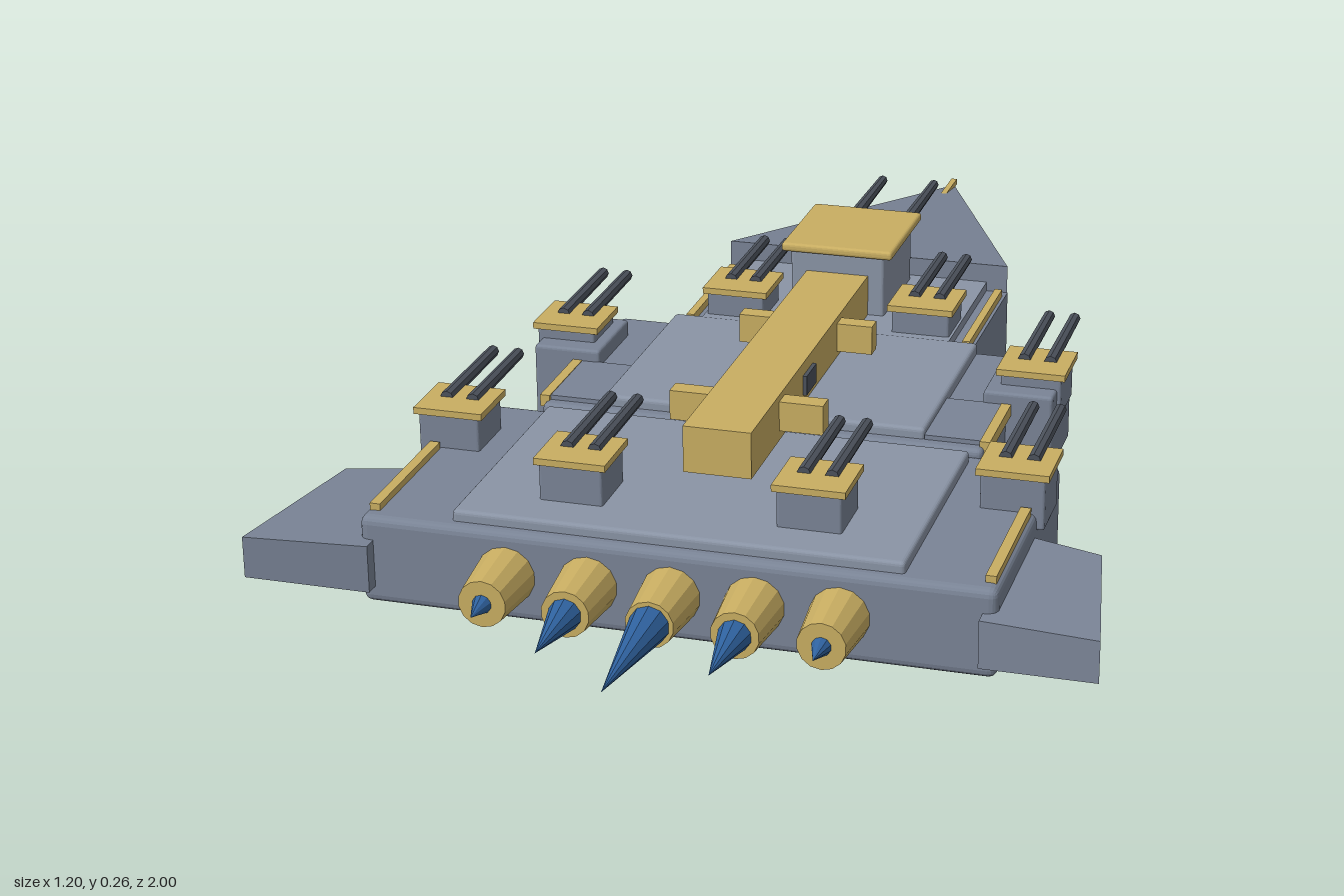
import * as THREE from 'three';
import { RoundedBoxGeometry } from 'three/addons/geometries/RoundedBoxGeometry.js';

const paint = (color) => new THREE.MeshStandardMaterial({ color, flatShading: true });

export function createModel() {
  const ship = new THREE.Group();
  const grey = paint(0x7a8496), pale = paint(0x8a94a5), gold = paint(0xc9ae62);
  const dark = paint(0x4c525c), blue = paint(0x2f629f);

  const add = (name, geometry, material, parent = ship) => {
    const mesh = new THREE.Mesh(geometry, material);
    mesh.name = name;
    parent.add(mesh);
    return mesh;
  };
  // Box given by its limits on each axis
  const box = (name, material, [x0, x1], [y0, y1], [z0, z1], round = 0, parent = ship) => {
    const s = [x1 - x0, y1 - y0, z1 - z0];
    const g = round ? new RoundedBoxGeometry(...s, 2, round) : new THREE.BoxGeometry(...s);
    g.translate((x0 + x1) / 2, (y0 + y1) / 2, (z0 + z1) / 2);
    return add(name, g, material, parent);
  };
  // Round part along z, radius r0 at z0 and r1 at z1
  const rod = (name, material, x, y, z0, z1, r0, r1, sides, parent = ship) => {
    const g = new THREE.CylinderGeometry(r1, r0, z1 - z0, sides);
    g.rotateX(Math.PI / 2).translate(x, y, (z0 + z1) / 2);
    return add(name, g, material, parent);
  };

  // Stepped hull with raised deck plates
  box('rearHull', grey, [-0.45, 0.45], [0, 0.13], [0.28, 0.71], 0.012);
  box('middleHull', grey, [-0.335, 0.335], [0.007, 0.14], [-0.09, 0.285], 0.008);
  box('frontHull', grey, [-0.235, 0.235], [0.007, 0.14], [-0.36, -0.08]);
  box('rearDeck', pale, [-0.32, 0.32], [0.12, 0.146], [0.3, 0.69], 0.006);
  box('middleDeck', pale, [-0.245, 0.245], [0.13, 0.156], [-0.09, 0.265], 0.006);
  box('frontDeck', pale, [-0.2, 0.2], [0.13, 0.155], [-0.36, -0.08]);

  // Four-sided pointed prow
  const prow = new THREE.CylinderGeometry(0, Math.SQRT1_2, 1, 4);
  prow.rotateY(Math.PI / 4).rotateX(-Math.PI / 2).scale(0.468, 0.178, 0.64).translate(0, 0.096, -0.68);
  add('prow', prow, grey);
  box('prowTip', gold, [-0.005, 0.005], [0.098, 0.108], [-1, -0.9]);

  // Spine with crossbars
  box('spine', gold, [-0.05, 0.05], [0.15, 0.22], [-0.17, 0.49]);
  box('rearCrossbar', gold, [-0.115, 0.115], [0.165, 0.21], [0.317, 0.347]);
  box('frontCrossbar', gold, [-0.105, 0.105], [0.165, 0.21], [-0.003, 0.025]);
  box('spineVent', dark, [-0.056, 0.056], [0.17, 0.2], [0.165, 0.22]);

  // Command bridge and its long guns
  box('bridge', pale, [-0.076, 0.076], [0.15, 0.253], [-0.347, -0.165], 0.005);
  box('bridgeRoof', gold, [-0.09, 0.09], [0.251, 0.265], [-0.36, -0.157], 0.005);
  for (const x of [-0.045, 0.045]) rod('bridgeGun', dark, x, 0.218, -0.64, -0.3, 0.008, 0.012, 8);

  // Twin-gun turret: centre x, centre z, block bottom, cap top
  const turret = (name, x, z, y0, y1) => {
    const group = new THREE.Group();
    group.name = name;
    group.position.set(x, 0, z);
    ship.add(group);
    box('turretBlock', grey, [-0.046, 0.046], [y0, y1 - 0.008], [-0.046, 0.046], 0.004, group);
    box('turretCap', gold, [-0.052, 0.052], [y1 - 0.01, y1], [-0.05, 0.05], 0, group);
    for (const dx of [-0.02, 0.02]) rod('turretGun', dark, dx, y1 - 0.001, -0.232 + 0.04, 0, 0.009, 0.01, 8, group);
  };

  for (const s of [-1, 1]) {
    const span = (a, b) => (s > 0 ? [a, b] : [-b, -a]);
    turret('rearDeckTurret', s * 0.17, 0.578, 0.13, 0.209);
    turret('rearSideTurret', s * 0.415, 0.41, 0.105, 0.19);
    turret('middleSideTurret', s * 0.365, 0.043, 0.12, 0.19);
    turret('frontTurret', s * 0.15, -0.148, 0.13, 0.2);
    box('sideSponson', grey, span(0.3, 0.405), [0.045, 0.165], [-0.02, 0.122], 0.005);
    box('sidePanel', grey, span(0.245, 0.33), [0.13, 0.147], [0.12, 0.265]);

    // Gold edge strips
    box('rearTrim', gold, span(0.428, 0.443), [0.12, 0.14], [0.46, 0.685]);
    box('middleTrim', gold, span(0.328, 0.343), [0.13, 0.148], [0.118, 0.27]);
    box('frontTrim', gold, span(0.218, 0.23), [0.13, 0.152], [-0.34, -0.1]);

    // Swept rear fin: box corners moved to root and tip
    const fin = new THREE.BoxGeometry(1, 1, 1);
    const p = fin.attributes.position;
    for (let i = 0; i < p.count; i++) {
      const outer = p.getX(i) * s > 0, top = p.getY(i) > 0, back = p.getZ(i) > 0;
      const x = outer ? (back ? 0.598 : 0.553) : 0.43;
      const y = outer ? (top ? 0.107 : 0.046) : (top ? 0.096 : 0.026);
      const z = outer ? (back ? 0.77 : 0.515) : (back ? 0.732 : 0.455);
      p.setXYZ(i, s * x, y, z);
    }
    fin.computeVertexNormals();
    add('fin', fin, grey);
  }

  // Engine row, with flames shrinking outwards
  for (let i = -2; i <= 2; i++) {
    const n = Math.abs(i), x = i * 0.118, y = 0.067;
    rod('engineNozzle', gold, x, y, 0.69, 0.803, 0.044, 0.034, 14);
    rod('engineFlame', blue, x, y, 0.79, [1, 0.92, 0.845][n], [0.03, 0.026, 0.018][n], 0, 10);
  }
  return ship;
}
